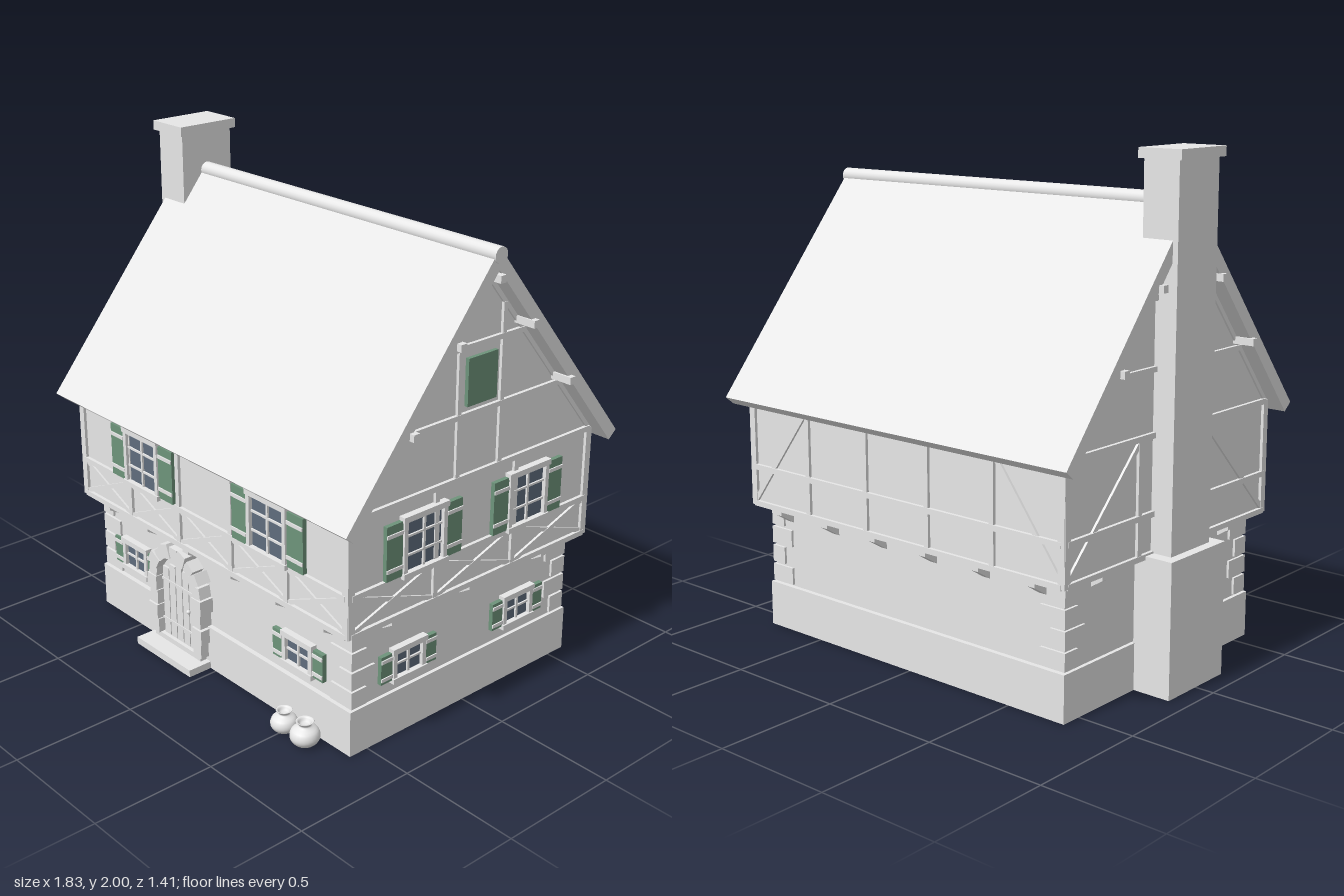
import * as THREE from 'three';

const mat = (name, color) => {
  const m = new THREE.MeshStandardMaterial({ color });
  m.name = name;
  return m;
};

export function createModel() {
  const plaster = mat('pale grey', 0xe7e7e7);
  const green = mat('shutter green', 0x6e947b);
  const glass = mat('window glass', 0x5f6c7d);
  const house = new THREE.Group();
  house.name = 'timberFrameHouse';

  const add = (parent, name, geo, m = plaster) => {
    const mesh = new THREE.Mesh(geo, m);
    mesh.name = name;
    parent.add(mesh);
    return mesh;
  };
  // Box from its lower to its upper bounds
  const box = (parent, name, x0, x1, y0, y1, z0, z1, m) => {
    const b = add(parent, name, new THREE.BoxGeometry(x1 - x0, y1 - y0, z1 - z0), m);
    b.position.set((x0 + x1) / 2, (y0 + y1) / 2, (z0 + z1) / 2);
    return b;
  };
  const shapeOf = (pts) => new THREE.Shape(pts.map(([x, y]) => new THREE.Vector2(x, y)));
  // Profile of (z, y) points swept along x
  const sweepX = (parent, name, pts, x0, x1) => {
    const geo = new THREE.ExtrudeGeometry(shapeOf(pts), { depth: x1 - x0, bevelEnabled: false });
    geo.rotateY(-Math.PI / 2).translate(x1, 0, 0);
    return add(parent, name, geo);
  };
  // Wall frame: local x along the wall, local z outward
  const wall = (name, x, z, ry) => {
    const g = new THREE.Group();
    g.name = name;
    g.position.set(x, 0, z);
    g.rotation.y = ry;
    house.add(g);
    return g;
  };
  const beam = (g, x0, y0, x1, y1, w = 0.02, d = 0.012) => {
    const len = Math.hypot(x1 - x0, y1 - y0);
    const b = add(g, 'timber', new THREE.BoxGeometry(len, w, d + 0.01));
    b.position.set((x0 + x1) / 2, (y0 + y1) / 2, (d - 0.01) / 2);
    b.rotation.z = Math.atan2(y1 - y0, x1 - x0);
  };

  // Masses: plinth, stone ground floor, jettied upper floor with gables
  box(house, 'plinth', -0.76, 0.79, 0, 0.185, -0.585, 0.585);
  box(house, 'groundFloor', -0.745, 0.775, 0.185, 0.53, -0.565, 0.565);
  sweepX(house, 'upperFloor', [[-0.625, 0.52], [0.625, 0.52], [0.625, 0.98], [0, 1.757], [-0.625, 0.98]], -0.79, 0.82);

  // Roof, ridge cap and purlin ends
  sweepX(house, 'roof', [[0.705, 0.965], [0, 1.832], [-0.705, 0.965], [-0.666, 0.933], [0, 1.752], [0.666, 0.933]], -0.86, 0.893);
  const ridge = add(house, 'ridgeCap', new THREE.CylinderGeometry(0.031, 0.031, 1.63, 20));
  ridge.rotation.z = Math.PI / 2;
  ridge.position.set(0.085, 1.807, 0);
  for (const [z, y] of [[0, 1.725], [0.185, 1.52], [-0.185, 1.52], [0.402, 1.25], [-0.402, 1.25]])
    box(house, 'purlin', -0.88, 0.914, y - 0.014, y + 0.014, z - 0.014, z + 0.014);

  // Chimney
  box(house, 'chimneyBase', -0.92, -0.755, 0, 0.53, -0.172, 0.172);
  box(house, 'chimneyShaft', -0.882, -0.73, 0.53, 1.965, -0.122, 0.122);
  box(house, 'chimneyCap', -0.9, -0.715, 1.962, 2, -0.138, 0.138);

  // Window with frame, bars and a pair of banded shutters
  const windowUnit = (g, x, y0, y1, w, sw, rows) => {
    const u = new THREE.Group();
    u.name = 'window';
    u.position.x = x;
    g.add(u);
    const h = w / 2, f = 0.018;
    box(u, 'glass', -h, h, y0, y1, 0, 0.008, glass);
    for (const s of [-1, 1]) {
      box(u, 'frameSide', s * (h - f / 2) - f / 2, s * (h - f / 2) + f / 2, y0, y1, 0, 0.024);
      const c = s * (h + sw / 2 + 0.003);
      box(u, 'shutter', c - sw / 2, c + sw / 2, y0 + 0.005, y1 - 0.005, 0, 0.018, green);
      for (const t of [0.2, 0.8]) {
        const y = y0 + (y1 - y0) * t;
        box(u, 'shutterBand', c - sw / 2, c + sw / 2, y - 0.007, y + 0.007, 0.018, 0.023);
      }
    }
    box(u, 'sill', -h - 0.005, h + 0.005, y0 - 0.008, y0 + f * 0.7, 0, 0.03);
    box(u, 'lintel', -h - 0.005, h + 0.005, y1 - f * 0.7, y1 + 0.01, 0, 0.028);
    box(u, 'verticalBar', -0.005, 0.005, y0, y1, 0, 0.016);
    for (let i = 1; i < rows; i++) {
      const y = y0 + ((y1 - y0) * i) / rows;
      box(u, 'crossBar', -h, h, y - 0.004, y + 0.004, 0, 0.015);
    }
  };

  // Timber frame: posts, rails, and either crosses below the sills or corner braces
  const frame = (g, posts, crosses) => {
    const a = posts[0], b = posts[posts.length - 1];
    posts.forEach((p, i) => beam(g, p, 0.52, p, 0.98, i === 0 || p === b ? 0.03 : 0.022));
    for (const y of [0.527, 0.68, 0.975]) beam(g, a, y, b, y, 0.022, 0.014);
    if (crosses) {
      for (let i = 0; i + 1 < posts.length; i++) {
        beam(g, posts[i], 0.535, posts[i + 1], 0.675, 0.018, 0.01);
        beam(g, posts[i], 0.675, posts[i + 1], 0.535, 0.018, 0.008);
      }
    } else {
      beam(g, a, 0.535, posts[1], 0.96, 0.02, 0.01);
      beam(g, b, 0.535, posts[posts.length - 2], 0.96, 0.02, 0.01);
    }
  };
  const corbels = (g, xs) => xs.forEach((x) =>
    sweepX(g, 'corbel', [[-0.07, 0.52], [0.005, 0.52], [0.005, 0.497], [-0.07, 0.45]], x - 0.017, x + 0.017));
  const gableFrame = (g) => {
    for (const s of [-1, 1]) {
      beam(g, s * 0.11, 0.98, s * 0.11, 1.6);
      beam(g, 0, 1.74, s * 0.62, 0.98, 0.02, 0.009);
    }
    beam(g, -0.43, 1.218, 0.43, 1.218, 0.02, 0.014);
    beam(g, -0.22, 1.475, 0.22, 1.475, 0.02, 0.014);
  };

  const postsX = [-0.785, -0.465, -0.145, 0.175, 0.495, 0.815];
  const postsZ = [-0.62, -0.207, 0.207, 0.62];
  const corbelX = [-0.645, -0.38, -0.115, 0.15, 0.415, 0.68];
  const corbelZ = [-0.4, 0, 0.4];

  // Upper walls
  const front = wall('frontUpperWall', 0, 0.625, 0);
  frame(front, postsX, true);
  corbels(front, corbelX);
  for (const x of [-0.368, 0.4]) windowUnit(front, x, 0.685, 0.915, 0.22, 0.088, 3);
  const back = wall('backUpperWall', 0, -0.625, Math.PI);
  frame(back, postsX.map((x) => -x).reverse(), false);
  corbels(back, corbelX.map((x) => -x));
  const left = wall('leftUpperWall', 0.82, 0, Math.PI / 2);
  frame(left, postsZ, true);
  corbels(left, corbelZ);
  gableFrame(left);
  for (const x of [-0.273, 0.273]) windowUnit(left, x, 0.685, 0.91, 0.215, 0.078, 3);
  box(left, 'gableShutter', -0.075, 0.075, 1.25, 1.432, 0, 0.016, green);
  const right = wall('rightUpperWall', -0.79, 0, -Math.PI / 2);
  frame(right, postsZ, false);
  corbels(right, corbelZ);
  gableFrame(right);

  // Ground floor windows
  const frontLow = wall('frontLowerWall', 0, 0.565, 0);
  for (const x of [-0.525, 0.497]) windowUnit(frontLow, x, 0.235, 0.36, 0.165, 0.056, 2);
  const leftLow = wall('leftLowerWall', 0.775, 0, Math.PI / 2);
  for (const x of [-0.295, 0.295]) windowUnit(leftLow, x, 0.235, 0.36, 0.165, 0.056, 2);

  // Alternating corner stones
  for (const sx of [-1, 1]) for (const sz of [-1, 1]) for (let i = 0; i < 4; i++) {
    const w = i % 2 ? 0.06 : 0.105, d = i % 2 ? 0.105 : 0.065;
    const cx = sx < 0 ? -0.745 : 0.775;
    const q = add(house, 'cornerStone', new THREE.BoxGeometry(w + 0.01, 0.07, d + 0.01));
    q.position.set(cx - sx * (w / 2 - 0.005), 0.226 + i * 0.08, sz * (0.57 - d / 2));
  }

  // Arched door with stone surround and step
  const door = wall('door', -0.208, 0.565, 0);
  const leaf = new THREE.Shape();
  leaf.moveTo(-0.12, 0.03).lineTo(0.12, 0.03).lineTo(0.12, 0.3);
  leaf.absarc(0, 0.3, 0.12, 0, Math.PI, false);
  add(door, 'doorLeaf', new THREE.ExtrudeGeometry(leaf, { depth: 0.025, bevelEnabled: false, curveSegments: 16 }));
  for (let i = -2; i <= 2; i++)
    box(door, 'plank', i * 0.043 - 0.019, i * 0.043 + 0.019, 0.05, 0.4 - Math.abs(i) * 0.022, 0.02, 0.034);
  for (const y of [0.12, 0.3]) box(door, 'doorStrap', -0.11, 0.11, y - 0.005, y + 0.005, 0.03, 0.037);
  const knob = add(door, 'doorKnob', new THREE.SphereGeometry(0.009, 12, 8));
  knob.position.set(0.066, 0.215, 0.04);
  for (const s of [-1, 1]) for (let i = 0; i < 4; i++) {
    const w = i % 2 ? 0.06 : 0.05;
    const j = add(door, 'jambStone', new THREE.BoxGeometry(w, 0.062, i % 2 ? 0.065 : 0.055));
    j.position.set(s * (0.115 + w / 2), 0.081 + i * 0.066, 0.03);
  }
  for (let i = 0; i < 9; i++) {
    const a = (Math.PI * (i + 0.5)) / 9, r = i % 2 ? 0.147 : 0.142;
    const v = add(door, 'archStone', new THREE.BoxGeometry(i % 2 ? 0.06 : 0.05, 0.05, i % 2 ? 0.065 : 0.055));
    v.position.set(Math.cos(a) * r, 0.31 + Math.sin(a) * r, 0.03);
    v.rotation.z = a;
  }
  box(door, 'doorStep', -0.176, 0.176, 0, 0.03, 0, 0.125);
  box(door, 'threshold', -0.15, 0.15, 0.03, 0.052, 0, 0.05);

  // Clay pots by the front wall
  const pot = [[0, 0], [0.55, 0], [0.9, 0.3], [1, 0.65], [0.85, 1.05], [0.45, 1.3], [0.42, 1.45], [0.6, 1.65], [0.45, 1.62], [0.3, 1.4], [0, 1.35]];
  const potGeo = new THREE.LatheGeometry(new THREE.SplineCurve(pot.map(([x, y]) => new THREE.Vector2(x, y))).getPoints(30)
    .map((p) => p.set(Math.max(p.x, 0), Math.max(p.y, 0))), 24);
  for (const [x, r] of [[0.495, 0.053], [0.613, 0.058]]) {
    const p = add(house, 'pot', potGeo);
    p.scale.setScalar(r);
    p.position.set(x, 0, 0.648);
  }
  return house;
}
